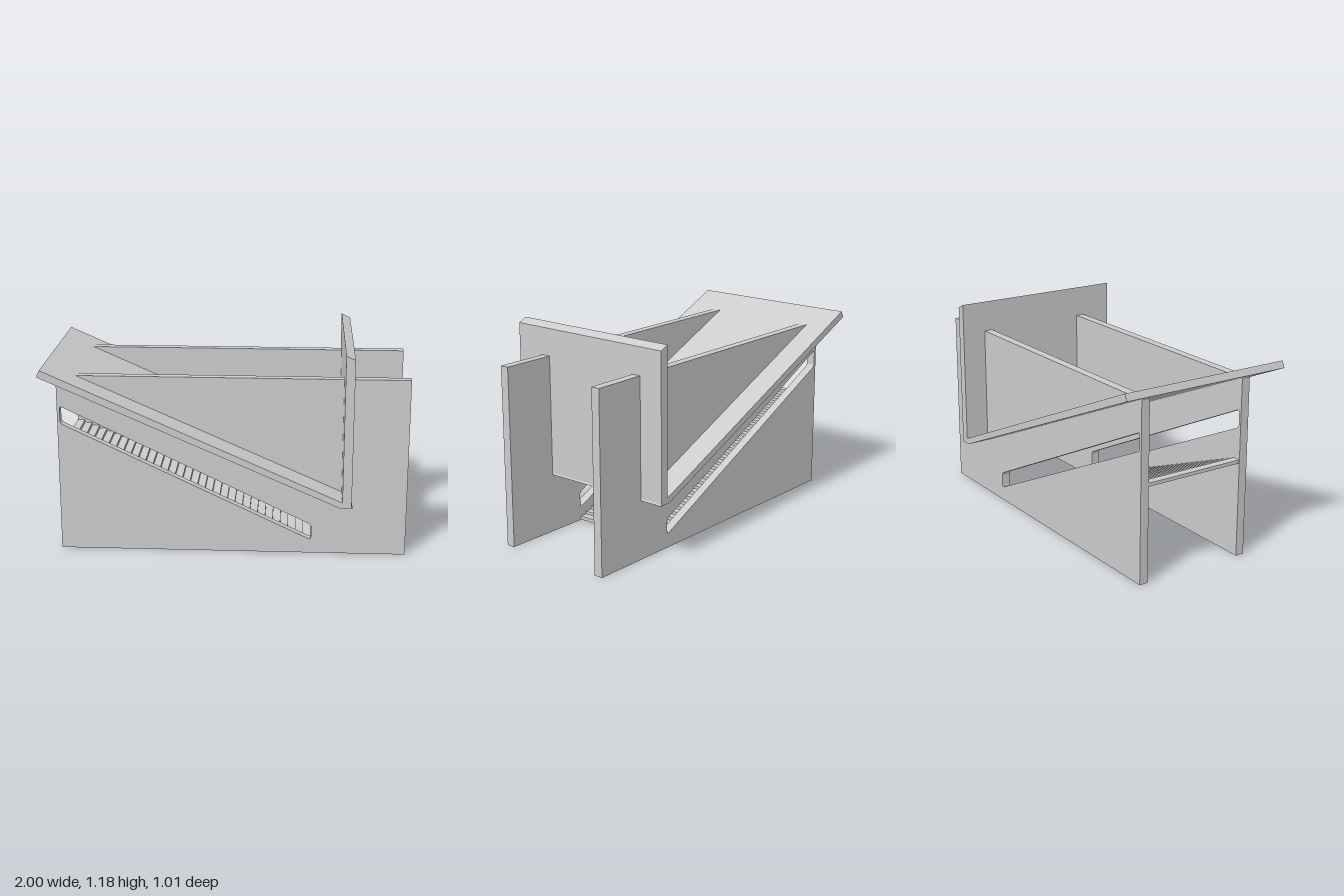
import * as THREE from 'three';

const material = new THREE.MeshStandardMaterial({ color: 0xcccccc });

// Closed outline with each corner rounded by radius r
function roundedOutline(path, corners, r) {
  const pts = corners.map(([x, y]) => new THREE.Vector2(x, y));
  const toward = (a, b) => a.clone().add(b.clone().sub(a).setLength(r));
  pts.forEach((p, i) => {
    const a = toward(p, pts[(i + pts.length - 1) % pts.length]);
    const b = toward(p, pts[(i + 1) % pts.length]);
    if (i) path.lineTo(a.x, a.y);
    else path.moveTo(a.x, a.y);
    path.quadraticCurveTo(p.x, p.y, b.x, b.y);
  });
  path.closePath();
  return path;
}

const polygon = (pts) => new THREE.Shape(pts.map(([x, y]) => new THREE.Vector2(x, y)));

// Side profile extruded across the width from z0 to z1
function board(name, shape, z0, z1) {
  const geometry = new THREE.ExtrudeGeometry(shape, {
    depth: z1 - z0, bevelEnabled: false, curveSegments: 4,
  });
  geometry.translate(0, 0, z0);
  const mesh = new THREE.Mesh(geometry, material);
  mesh.name = name;
  return mesh;
}

// Thin stepped floor profile from (x0, y0) up to (x1, y1)
function stepProfile(x0, y0, x1, y1, count, thickness) {
  const top = [], bottom = [];
  const dx = (x1 - x0) / count, dy = (y1 - y0) / count;
  for (let i = 0; i < count; i++) {
    const x = x0 + i * dx, y = y0 + i * dy;
    top.push([x, y + thickness], [x + dx, y + thickness]);
    bottom.push([x, y], [x + dx, y]);
  }
  return polygon([...top, ...bottom.reverse()]);
}

export function createModel() {
  const group = new THREE.Group();
  group.name = 'slattedChair';

  // Side panels, each with a long sloping slot
  const panel = polygon([[-0.93, 0], [1, 0], [1, 1.01], [-0.93, 1.01]]);
  panel.holes.push(roundedOutline(new THREE.Path(),
    [[-0.915, 0.735], [-0.915, 0.835], [0.475, 0.168], [0.475, 0.077]], 0.018));
  group.add(board('leftPanel', panel, 0.28, 0.33));
  group.add(board('rightPanel', panel, -0.365, -0.315));

  // Sloping seat and upright backrest
  const seat = polygon([[-1, 1.045], [0.627, 0.335], [0.64, 0.335], [0.64, 0.367], [-0.983, 1.082]]);
  group.add(board('seat', seat, -0.505, 0.505));
  const back = polygon([[0.64, 0.335], [0.695, 0.335], [0.69, 0.345], [0.69, 1.162], [0.64, 1.185]]);
  group.add(board('backrest', back, -0.505, 0.505));

  // Stepped shelf between the panels, below the slots
  const shelf = stepProfile(0.475, 0.004, -0.93, 0.555, 32, 0.02);
  group.add(board('steppedShelf', shelf, -0.315, 0.278));

  return group;
}
